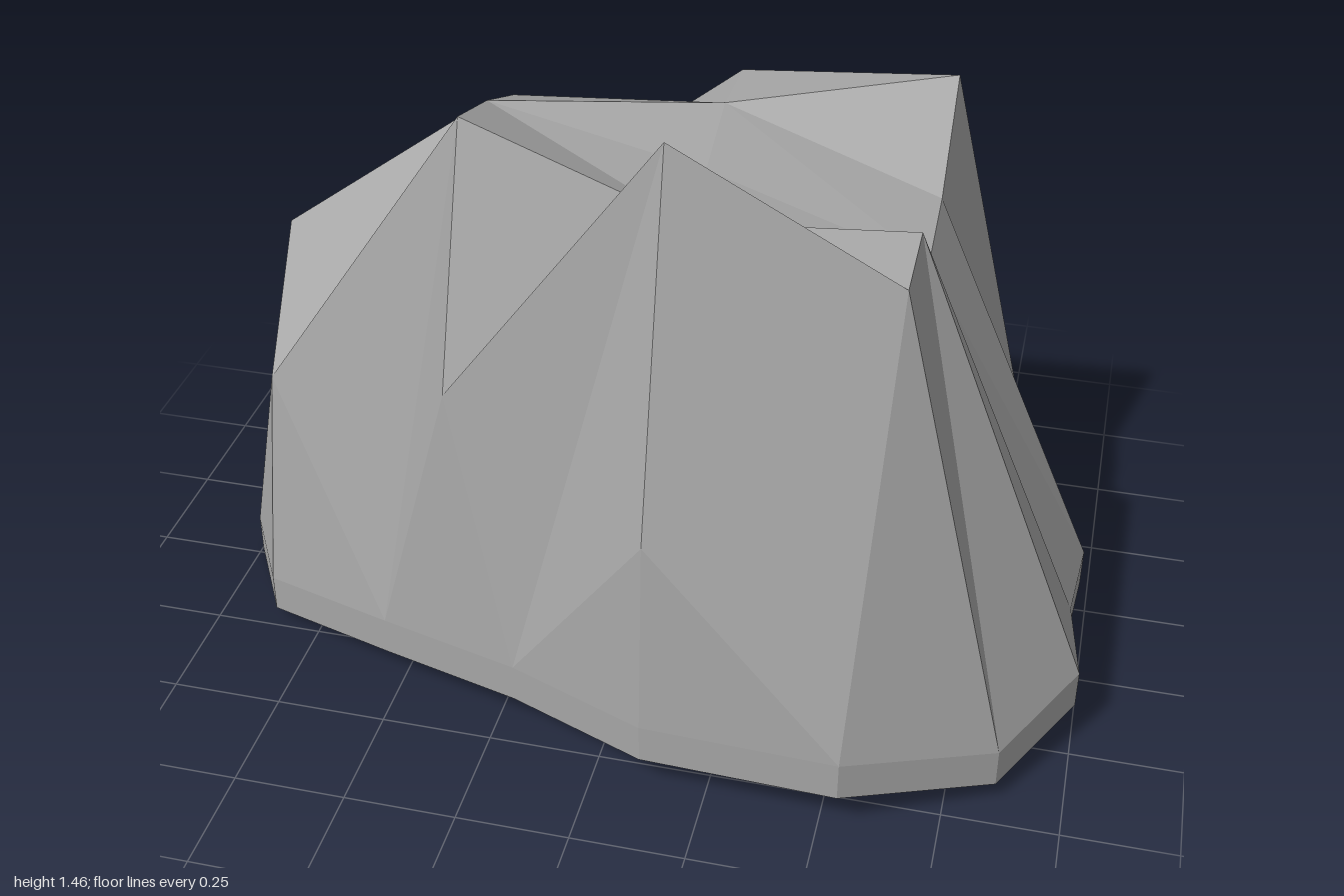
import * as THREE from 'three';

// Foot outline, counterclockwise from above, starting at the left tip: x, z, underside height
const FOOT = [
  [-1, -0.02, 0], [-0.86, 0.23, 0.035], [-0.53, 0.37, 0.085], [-0.2, 0.47, 0.1],
  [0.11, 0.58, 0.09], [0.54, 0.605, 0.1], [0.855, 0.43, 0.047], [1, 0.2, 0.1],
  [0.965, -0.01, 0.105], [0.98, -0.23, 0.1], [0.85, -0.45, 0.08], [0.53, -0.61, 0.05],
  [0.11, -0.61, 0.047], [-0.2, -0.495, 0.07], [-0.54, -0.405, 0.06], [-0.8, -0.24, 0.04],
];
const FOOT_HEIGHT = 0.09;

// Crown: a grid of heights, one row per z, one column per x
const GRID_X = [-0.36, 0.11, 0.585];
const GRID_Z = [-0.39, -0.2, -0.015, 0.175, 0.365];
const HEIGHTS = [
  [0.88, 1.255, 1.295],
  [1.23, 1.265, 1.095],
  [1.305, 1.2, 1.04],
  [1.36, 1.18, 1.22],
  [0.81, 1.455, 1.2],
];

function facetedMesh(name, triangles, material) {
  const geometry = new THREE.BufferGeometry().setFromPoints(triangles.flat());
  geometry.computeVertexNormals();
  const mesh = new THREE.Mesh(geometry, material);
  mesh.name = name;
  return mesh;
}

export function createModel() {
  const stone = new THREE.MeshStandardMaterial({ color: 0xa6a6a6 });
  stone.name = 'grey stone';
  const V = (x, y, z) => new THREE.Vector3(x, y, z);
  const group = new THREE.Group();
  group.name = 'rock';

  const low = FOOT.map(([x, z, y]) => V(x, y, z));
  const high = FOOT.map(([x, z, y]) => V(x, y + FOOT_HEIGHT, z));
  const n = FOOT.length;
  const grid = HEIGHTS.map((row, j) => row.map((y, i) => V(GRID_X[i], y, GRID_Z[j])));

  // Underside fan and the low band around the foot
  const underside = [], band = [];
  const centre = V(0, 0.07, 0);
  for (let i = 0; i < n; i++) {
    const k = (i + 1) % n;
    underside.push([centre, low[k], low[i]]);
    band.push([low[i], low[k], high[k]], [low[i], high[k], high[i]]);
  }

  // Crown cells, with diagonals alternating like a chequerboard
  const crown = [];
  for (let j = 0; j < 4; j++) {
    for (let i = 0; i < 2; i++) {
      const a = grid[j][i], b = grid[j][i + 1], c = grid[j + 1][i + 1], d = grid[j + 1][i];
      if ((i + j) % 2 === 0) crown.push([a, d, c], [a, c, b]);
      else crown.push([a, d, b], [d, c, b]);
    }
  }
  // Lower shoulder at the left end
  const shoulderBack = V(-0.83, 0.955, -0.015), shoulderFront = V(-0.83, 0.66, 0.175);
  crown.push([shoulderBack, shoulderFront, grid[2][0]], [shoulderFront, grid[3][0], grid[2][0]]);

  // Cliffs: stitch the crown's rim to the foot.
  // R steps along the foot, T along the rim, M spans two foot steps around a bulge.
  const rim = [
    shoulderBack, shoulderFront, grid[3][0], grid[4][0], grid[4][1], grid[4][2],
    grid[3][2], grid[2][2], grid[1][2], grid[0][2], grid[0][1], grid[0][0], grid[1][0], grid[2][0],
  ];
  const bulges = [V(0.11, 0.64, 0.555), V(0.11, 0.605, -0.578)];
  const cliffs = [];
  let r = 0, t = 0;
  for (const step of 'TRRTTRTMTRTRRTRTRTRTMTRTRTTR') {
    const foot = high[r % n], top = rim[t % rim.length];
    if (step === 'R') {
      cliffs.push([foot, high[++r % n], top]);
    } else if (step === 'T') {
      cliffs.push([foot, rim[++t % rim.length], top]);
    } else {
      const bulge = bulges.shift(), mid = high[(r + 1) % n], end = high[(r + 2) % n];
      cliffs.push([foot, bulge, top], [foot, mid, bulge], [mid, end, bulge], [bulge, end, top]);
      r += 2;
    }
  }

  group.add(
    facetedMesh('underside', underside, stone),
    facetedMesh('footBand', band, stone),
    facetedMesh('cliffs', cliffs, stone),
    facetedMesh('crown', crown, stone),
  );
  return group;
}
